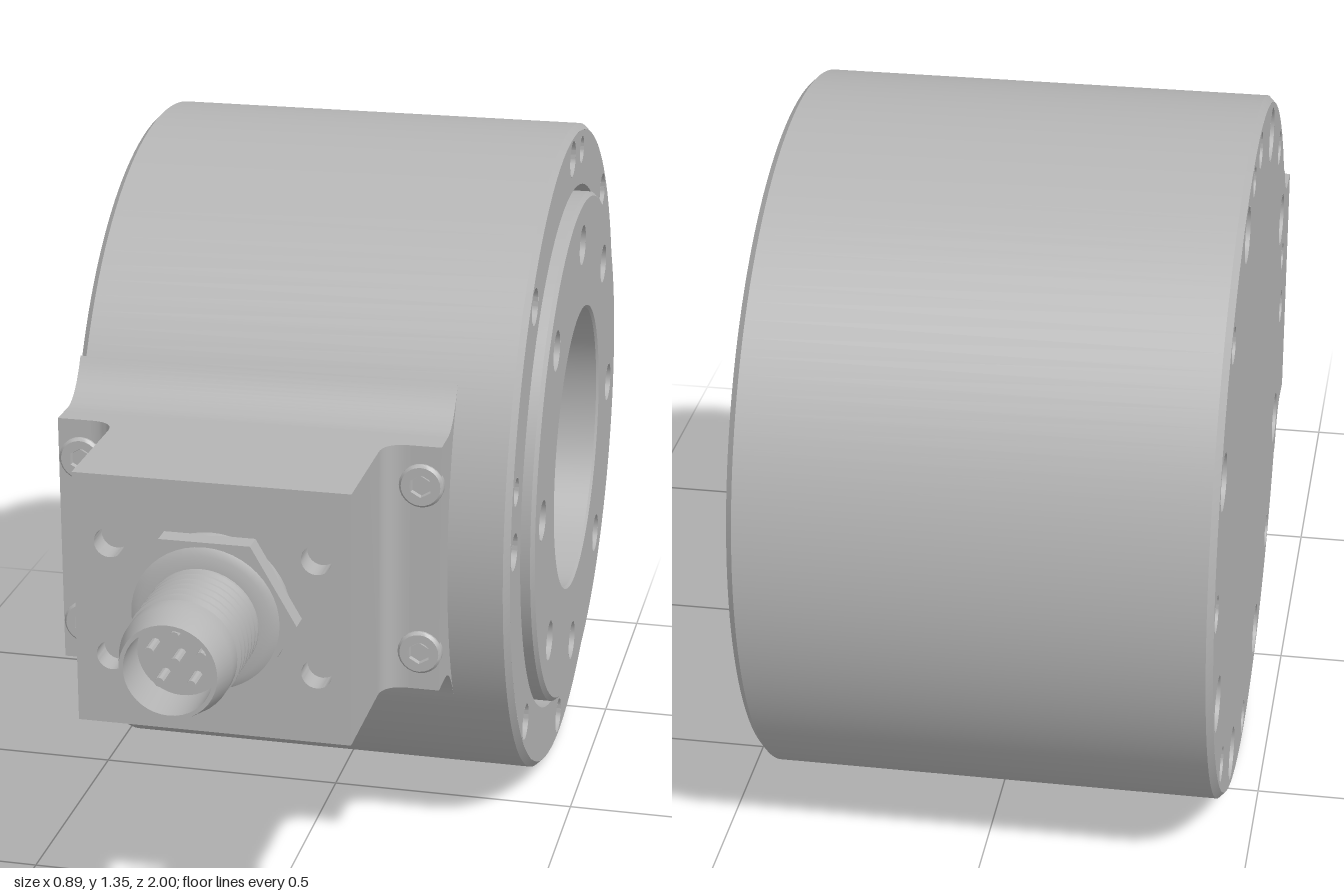
import * as THREE from 'three';
import { toCreasedNormals } from 'three/addons/utils/BufferGeometryUtils.js';

const CY = 0.675, CZ = -0.325, R = 0.675;   // drum axis and radius
const metal = new THREE.MeshStandardMaterial({ color: 0xb4b4b4, side: THREE.DoubleSide });
metal.name = 'grey metal';

function add(parent, name, geo, x = 0, y = 0, z = 0) {
  const mesh = new THREE.Mesh(toCreasedNormals(geo, 0.5), metal);
  mesh.name = name;
  mesh.position.set(x, y, z);
  parent.add(mesh);
  return mesh;
}

// Revolved profile of [radius, height] pairs, with the axis turned to +z
function turned(points, segments = 96) {
  const g = new THREE.LatheGeometry(points.map(p => new THREE.Vector2(p[0], p[1])), segments);
  return g.rotateX(Math.PI / 2);
}

function circlePath(x, y, r) {
  const p = new THREE.Path();
  p.absarc(x, y, r, 0, Math.PI * 2, true);
  return p;
}

// Flat disc in the XY plane pierced by [x, y, radius] holes, each with a blind bore
function drilledFace(parent, name, outer, inner, level, holes, depth) {
  const s = new THREE.Shape();
  s.absarc(0, 0, outer, 0, Math.PI * 2, false);
  if (inner) s.holes.push(circlePath(0, 0, inner));
  holes.forEach(([x, y, r]) => s.holes.push(circlePath(x, y, r)));
  add(parent, name, new THREE.ShapeGeometry(s, 48), 0, 0, level);
  holes.forEach(([x, y, r]) =>
    add(parent, name + 'Bore', turned([[r, 0], [r, -depth], [0, -depth - r * 0.4]], 24), x, y, level));
}

function holeRing(count, radius, size, start = 0) {
  return Array.from({ length: count }, (_, i) => {
    const a = start + i * Math.PI * 2 / count;
    return [Math.cos(a) * radius, Math.sin(a) * radius, size];
  });
}

function makeDrum() {
  const drum = new THREE.Group();
  drum.name = 'drum';
  drum.position.set(0, CY, CZ);

  // Output side: local z points to +x, local x to -z
  const right = new THREE.Group();
  right.name = 'outputSide';
  right.rotation.y = Math.PI / 2;
  drum.add(right);
  add(right, 'housing', turned([[0.663, -0.45], [R, -0.438], [R, 0.408], [0.663, 0.42]], 128));
  const pins = [[0.12, 0.61, 0.028], [-0.61, 0.12, 0.028]];
  drilledFace(right, 'rimFace', 0.663, 0.55, 0.42, [...holeRing(8, 0.62, 0.037), ...pins], 0.1);
  add(right, 'flangeGroove', turned([[0.55, 0.42], [0.55, 0.37], [0.535, 0.37], [0.535, 0.437], [0.527, 0.445]]));
  drilledFace(right, 'outputFlange', 0.527, 0.299, 0.445, holeRing(8, 0.44, 0.041), 0.1);
  add(right, 'centreBore', turned([[0.299, 0.445], [0.294, 0.44], [0.294, 0.33], [0, 0.33]]));

  // Mounting side: local z points to -x, local x to +z
  const left = new THREE.Group();
  left.name = 'mountingSide';
  left.rotation.y = -Math.PI / 2;
  drum.add(left);
  drilledFace(left, 'mountingFace', 0.663, 0, 0.45, [
    ...holeRing(8, 0.62, 0.034),
    ...holeRing(8, 0.6, 0.052, Math.PI / 8),
    [-0.12, 0.61, 0.028], [0.61, 0.12, 0.028],
  ], 0.12);

  // Saddle that blends the drum into the connector flange
  const h = 0.248, a = Math.asin(0.325 / R), ri = 0.661;
  const s = new THREE.Shape();
  s.moveTo(Math.cos(a) * ri, -Math.sin(a) * ri);
  s.lineTo(0.592, -0.325);
  s.quadraticCurveTo(0.633, -h, 0.685, -h);
  s.lineTo(0.745, -h);
  s.lineTo(0.745, h);
  s.lineTo(0.685, h);
  s.quadraticCurveTo(0.633, h, 0.592, 0.325);
  s.lineTo(Math.cos(a) * ri, Math.sin(a) * ri);
  s.absarc(0, 0, ri, a, -a, true);
  const g = new THREE.ExtrudeGeometry(s, { depth: 0.75, bevelEnabled: false, curveSegments: 16 });
  add(left, 'saddle', g, 0, 0, -0.3);
  return drum;
}

function makeConnectorBlock() {
  const block = new THREE.Group();
  block.name = 'connectorBlock';
  const x0 = -0.335, x1 = 0.19, f = 0.05, half = 0.248;

  // Block with filleted feet, extruded along y
  const s = new THREE.Shape();
  s.moveTo(x0 - f, 0.41);
  s.lineTo(x1 + f, 0.41);
  s.lineTo(x1 + f, 0.42);
  s.quadraticCurveTo(x1, 0.42, x1, 0.42 + f);
  s.lineTo(x1, 0.65);
  s.lineTo(x0, 0.65);
  s.lineTo(x0, 0.42 + f);
  s.quadraticCurveTo(x0, 0.42, x0 - f, 0.42);
  const g = new THREE.ExtrudeGeometry(s, { depth: half * 2, bevelEnabled: false, curveSegments: 10 });
  add(block, 'blockBody', g.rotateX(Math.PI / 2), 0, CY + half, 0);

  // Front plate with four screw holes
  const plate = new THREE.Shape();
  plate.moveTo(x0, CY - half);
  plate.lineTo(x1, CY - half);
  plate.lineTo(x1, CY + half);
  plate.lineTo(x0, CY + half);
  for (const x of [-0.267, 0.125])
    for (const y of [0.565, 0.79]) plate.holes.push(circlePath(x, y, 0.029));
  add(block, 'frontPlate', new THREE.ExtrudeGeometry(plate, { depth: 0.05, bevelEnabled: false }), 0, 0, 0.65);

  // Flange screws with hexagonal sockets
  for (const x of [-0.405, 0.262])
    for (const y of [0.505, 0.845]) {
      add(block, 'screwHead', turned([[0.043, 0.41], [0.043, 0.424], [0.038, 0.43], [0.022, 0.43]], 24), x, y, 0);
      add(block, 'screwSocket', turned([[0.022, 0.43], [0.02, 0.421], [0, 0.421]], 6), x, y, 0);
    }
  return block;
}

function makeConnector() {
  const plug = new THREE.Group();
  plug.name = 'connector';
  plug.position.set(-0.072, 0.677, 0);

  // Hexagonal nut with a corner at each side
  const nut = new THREE.CylinderGeometry(0.172, 0.172, 0.04, 6, 1, false, Math.PI / 2);
  add(plug, 'hexNut', nut.rotateX(Math.PI / 2), 0, 0, 0.73);
  add(plug, 'nutCollar', turned([[0.15, 0.7], [0.15, 0.71], [0.14, 0.75], [0.125, 0.758], [0.09, 0.758]], 48));

  // Threaded barrel, open at the tip
  const profile = [[0.092, 0.75]];
  for (let i = 0; i < 6; i++) {
    const z = 0.765 + i * 0.024;
    profile.push([0.092, z], [0.107, z + 0.008], [0.107, z + 0.014], [0.092, z + 0.022]);
  }
  profile.push([0.104, 0.915], [0.104, 0.95], [0.09, 1], [0.082, 1], [0.082, 0.91], [0, 0.91]);
  add(plug, 'threadedBarrel', turned(profile, 40));

  // Contact pins
  for (const [x, y] of [[0, 0], ...holeRing(5, 0.05, 0, Math.PI / 2)]) {
    const pin = new THREE.CylinderGeometry(0.009, 0.009, 0.05, 10);
    add(plug, 'contactPin', pin.rotateX(Math.PI / 2), x, y, 0.93);
  }
  return plug;
}

export function createModel() {
  const model = new THREE.Group();
  model.name = 'rotaryActuator';
  model.add(makeDrum(), makeConnectorBlock(), makeConnector());
  return model;
}
